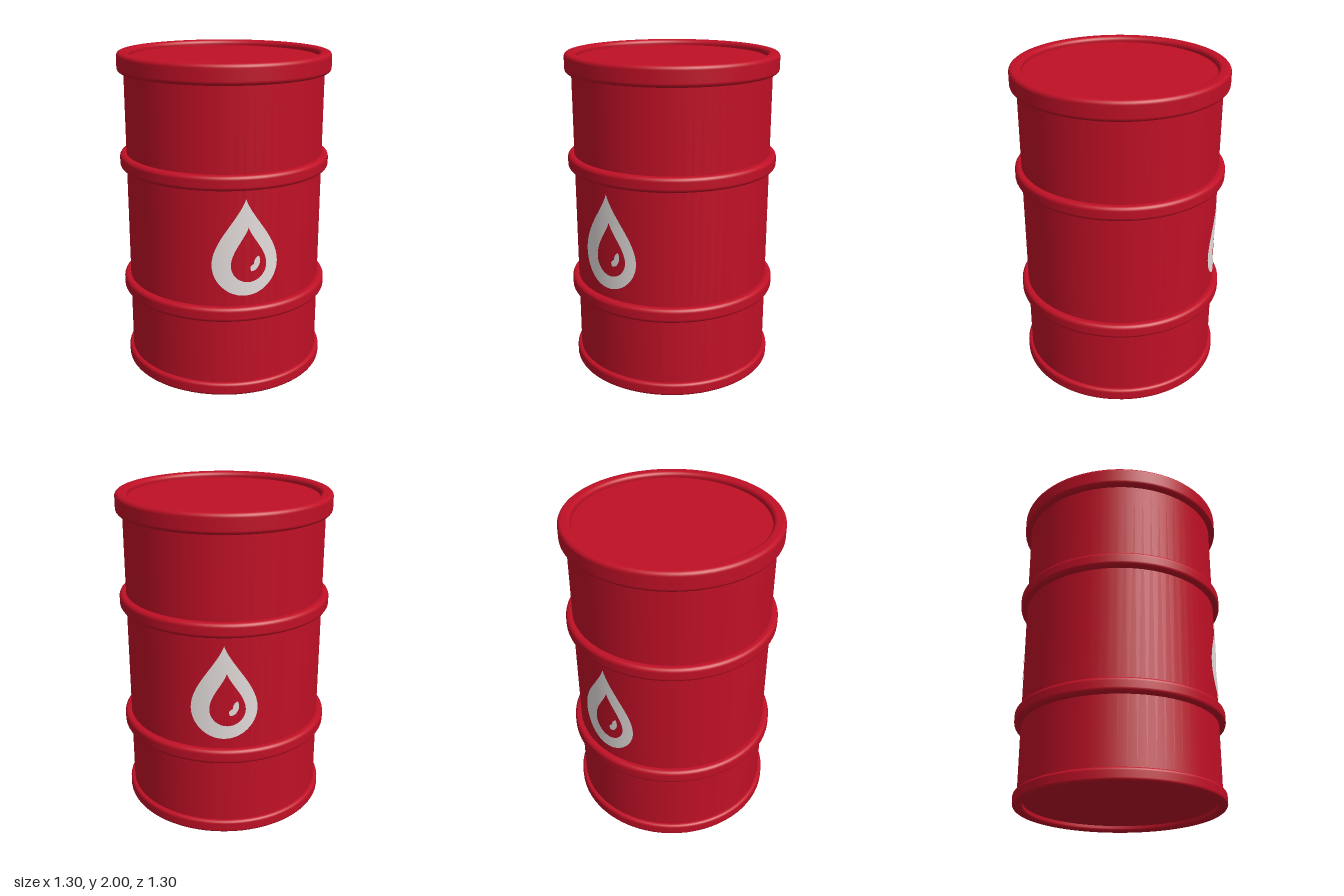
import * as THREE from 'three';

const BODY_R = 0.61;
const SEGMENTS = 72;

// Rounded-rectangle ring swept around the y axis
function ring(name, rIn, rOut, y0, y1, bevel, material) {
  const s = new THREE.Shape();
  const q = Math.PI / 2;
  s.absarc(rOut - bevel, y0 + bevel, bevel, -q, 0);
  s.absarc(rOut - bevel, y1 - bevel, bevel, 0, q);
  s.absarc(rIn + bevel, y1 - bevel, bevel, q, 2 * q);
  s.absarc(rIn + bevel, y0 + bevel, bevel, 2 * q, 3 * q);
  s.closePath();
  const mesh = new THREE.Mesh(new THREE.LatheGeometry(s.getPoints(6), SEGMENTS), material);
  mesh.name = name;
  return mesh;
}

// Teardrop outline, counter-clockwise from its tip
function dropOutline(cx, cy, r, tipX, tipY) {
  const h = tipY - cy;
  const k = r * 0.552;
  const s = new THREE.Shape();
  s.moveTo(tipX, tipY);
  s.bezierCurveTo(tipX - r * 0.2, cy + h * 0.71, cx - r, cy + h * 0.37, cx - r, cy);
  s.bezierCurveTo(cx - r, cy - k, cx - k, cy - r, cx, cy - r);
  s.bezierCurveTo(cx + k, cy - r, cx + r, cy - k, cx + r, cy);
  s.bezierCurveTo(cx + r, cy + h * 0.37, tipX + r * 0.2, cy + h * 0.71, tipX, tipY);
  return s.getPoints(14);
}

// Painted strip between two outlines, wrapped onto the body
function wrappedBand(name, outer, inner, material) {
  const R = BODY_R + 0.004;
  const strips = 4;
  const n = outer.length;
  const pos = [], normal = [], index = [];
  for (let j = 0; j <= strips; j++) {
    for (let i = 0; i < n; i++) {
      const p = outer[i].clone().lerp(inner[i], j / strips);
      const z = Math.sqrt(R * R - p.x * p.x);
      pos.push(p.x, p.y, z);
      normal.push(p.x / R, 0, z / R);
      if (j < strips && i < n - 1) {
        const a = j * n + i, b = a + n;
        index.push(a, a + 1, b, a + 1, b + 1, b);
      }
    }
  }
  const g = new THREE.BufferGeometry();
  g.setAttribute('position', new THREE.Float32BufferAttribute(pos, 3));
  g.setAttribute('normal', new THREE.Float32BufferAttribute(normal, 3));
  g.setIndex(index);
  const mesh = new THREE.Mesh(g, material);
  mesh.name = name;
  return mesh;
}

export function createModel() {
  const red = new THREE.MeshStandardMaterial({ color: 0xc01026 });
  red.name = 'red paint';
  const white = new THREE.MeshStandardMaterial({ color: 0xe8e2e0 });
  white.name = 'white paint';

  const barrel = new THREE.Group();
  barrel.name = 'barrel';

  // Body, whose caps form the recessed lid and base
  const body = new THREE.Mesh(new THREE.CylinderGeometry(BODY_R, BODY_R, 1.93, SEGMENTS), red);
  body.position.y = 1.0;
  body.name = 'body';
  barrel.add(body);

  // Rims and rolling hoops
  barrel.add(
    ring('bottomRim', 0.575, 0.635, 0, 0.08, 0.02, red),
    ring('lowerHoop', 0.58, 0.65, 0.495, 0.585, 0.025, red),
    ring('upperHoop', 0.58, 0.65, 1.295, 1.385, 0.025, red),
    ring('topRim', 0.575, 0.65, 1.88, 2, 0.025, red)
  );

  // Drop marking on the front and the back
  const outer = dropOutline(0, 0.845, 0.195, 0, 1.24);
  const inner = dropOutline(0.02, 0.84, 0.106, 0.016, 1.07);

  // Small slanted glint inside the drop
  const glint = new THREE.Shape();
  glint.moveTo(0.08, 0.895);
  glint.quadraticCurveTo(0.05, 0.88, 0.05, 0.845);
  glint.quadraticCurveTo(0.015, 0.83, 0.035, 0.8);
  glint.quadraticCurveTo(0.07, 0.8, 0.085, 0.845);
  glint.quadraticCurveTo(0.09, 0.87, 0.08, 0.895);
  const glintEdge = glint.getPoints(8);
  const glintCentre = glintEdge.map(() => new THREE.Vector2(0.062, 0.84));

  ['front', 'back'].forEach((side, i) => {
    const marking = new THREE.Group();
    marking.name = side + 'DropMarking';
    marking.add(
      wrappedBand('dropOutline', outer, inner, white),
      wrappedBand('dropGlint', glintEdge, glintCentre, white)
    );
    marking.rotation.y = i * Math.PI;
    barrel.add(marking);
  });

  return barrel;
}
